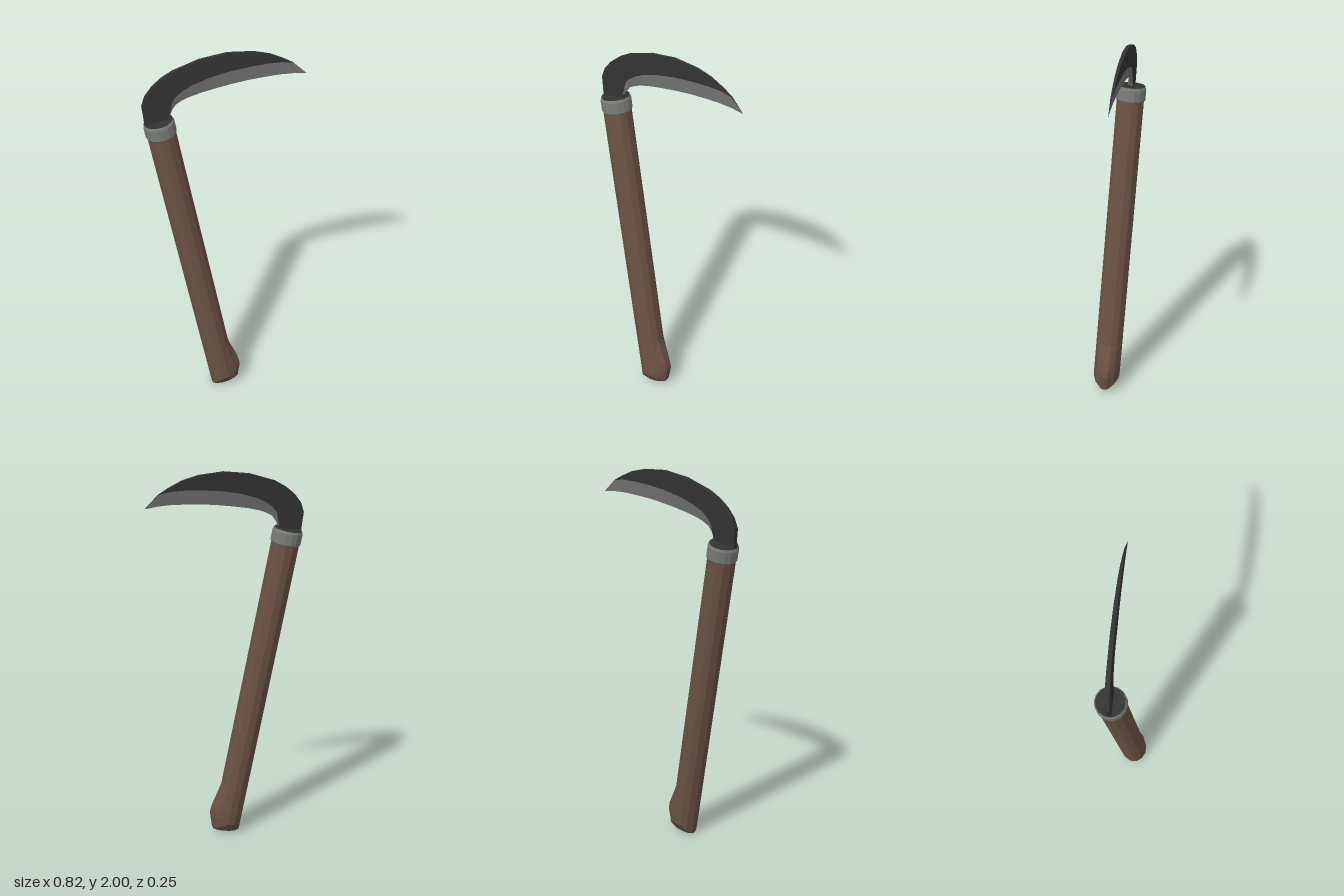
import * as THREE from 'three';

const flat = (name, color) => {
  const m = new THREE.MeshStandardMaterial({ color, flatShading: true });
  m.name = name;
  return m;
};

const part = (name, geometry, material) => {
  const mesh = new THREE.Mesh(geometry, material);
  mesh.name = name;
  return mesh;
};

// Geometry from a list of corner vectors, three per triangle
function fromTriangles(points) {
  const g = new THREE.BufferGeometry().setFromPoints(points);
  g.computeVertexNormals();
  return g;
}

// Twelve-sided wooden grip with a chamfered butt and a hooked swelling on +x
function handleGeometry() {
  const SIDES = 12, R = 0.072;
  // [height, swelling on +x, depth factor, chamfer rise on the z sides]
  const stations = [
    [0, 0.003, 0.48, 0], [0.004, 0.006, 1, 0.055], [0.085, 0.034, 1, 0],
    [0.125, 0.033, 1, 0], [0.2, 0.014, 1, 0], [0.265, 0, 1, 0], [1.701, 0, 0.98, 0],
  ];
  const rings = stations.map(([y, swell, depth, rise]) =>
    Array.from({ length: SIDES }, (_, j) => {
      const a = ((j + 0.5) / SIDES) * Math.PI * 2;
      const c = Math.cos(a), s = Math.sin(a);
      const bulge = swell * Math.max(c, 0) ** 2;
      return new THREE.Vector3(R * c + bulge, y + rise * s * s, R * s * depth);
    }));
  const tris = [];
  for (let k = 0; k < rings.length - 1; k++) {
    for (let j = 0; j < SIDES; j++) {
      const n = (j + 1) % SIDES, a = rings[k], b = rings[k + 1];
      tris.push(a[j], b[j], a[n], a[n], b[j], b[n]);
    }
  }
  // End caps
  const bottom = new THREE.Vector3(0, 0, 0), top = new THREE.Vector3(0, 1.701, 0);
  const last = rings[rings.length - 1];
  for (let j = 0; j < SIDES; j++) {
    const n = (j + 1) % SIDES;
    tris.push(bottom, rings[0][j], rings[0][n], top, last[n], last[j]);
  }
  return fromTriangles(tris);
}

// Blade stations: spine x,y / bevel line x,y / cutting edge x,y / half thickness
const BLADE = [
  [-0.4, 1.66, -0.297, 1.67, -0.297, 1.67, 0.011],
  [-0.406, 1.72, -0.283, 1.71, -0.283, 1.71, 0.011],
  [-0.412, 1.775, -0.275, 1.75, -0.265, 1.74, 0.011],
  [-0.395, 1.825, -0.267, 1.785, -0.246, 1.765, 0.011],
  [-0.36, 1.87, -0.245, 1.812, -0.215, 1.782, 0.011],
  [-0.315, 1.908, -0.21, 1.838, -0.18, 1.795, 0.011],
  [-0.257, 1.941, -0.165, 1.86, -0.12, 1.81, 0.01],
  [-0.125, 1.983, -0.08, 1.887, -0.045, 1.823, 0.01],
  [0.01, 2.0, 0.02, 1.906, 0.03, 1.834, 0.009],
  [0.14, 1.988, 0.13, 1.916, 0.11, 1.843, 0.008],
  [0.22, 1.966, 0.21, 1.919, 0.2, 1.848, 0.007],
  [0.28, 1.937, 0.275, 1.917, 0.27, 1.85, 0.006],
  [0.335, 1.905, 0.335, 1.905, 0.335, 1.847, 0.005],
  [0.406, 1.837, 0.406, 1.837, 0.406, 1.837, 0],
];

// Skin the blade, keeping only the faces chosen by keep(station, side)
function bladeGeometry(keep) {
  const rings = BLADE.map(([ox, oy, mx, my, ix, iy, t]) => [
    new THREE.Vector3(ox, oy, t), new THREE.Vector3(mx, my, t),
    new THREE.Vector3(ix, iy, 0),
    new THREE.Vector3(mx, my, -t), new THREE.Vector3(ox, oy, -t),
  ]);
  const tris = [];
  for (let k = 0; k < rings.length - 1; k++) {
    for (let j = 0; j < 5; j++) {
      if (!keep(k, j)) continue;
      const n = (j + 1) % 5, a = rings[k], b = rings[k + 1];
      tris.push(a[j], a[n], b[n], a[j], b[n], b[j]);
    }
  }
  return fromTriangles(tris);
}

export function createModel() {
  const wood = flat('brown wood', 0x6b5243);
  const darkSteel = flat('dark steel', 0x333333);
  const edgeSteel = flat('ground steel', 0x737373);
  const collarSteel = flat('collar metal', 0x777b76);

  const model = new THREE.Group();
  model.name = 'sickle';

  // The whole tool leans slightly out of the upright plane
  const tool = new THREE.Group();
  tool.name = 'tool';
  tool.position.z = 0.058;
  tool.rotation.set(-0.0522, -0.0607, 0);
  model.add(tool);

  // Grip, leaning to the side
  const grip = new THREE.Group();
  grip.name = 'grip';
  grip.position.set(-0.04, 0.015, 0);
  grip.rotation.z = 0.175;
  grip.add(part('handle', handleGeometry(), wood));

  // Metal collar with chamfered rims
  const profile = [[0.07, 1.622], [0.077, 1.631], [0.077, 1.688], [0.0715, 1.7], [0.066, 1.7]]
    .map(([x, y]) => new THREE.Vector2(x, y));
  grip.add(part('collar', new THREE.LatheGeometry(profile, 16), collarSteel));

  // Dark plate closing the top of the collar
  const plate = part('topPlate', new THREE.CylinderGeometry(0.07, 0.07, 0.006, 16), darkSteel);
  plate.position.y = 1.7;
  grip.add(plate);
  tool.add(grip);

  // Curved blade: dark body and bright ground edge
  const isEdge = (k, j) => k > 0 && (j === 1 || j === 2);
  tool.add(part('bladeBody', bladeGeometry((k, j) => !isEdge(k, j)), darkSteel));
  tool.add(part('bladeEdge', bladeGeometry(isEdge), edgeSteel));

  return model;
}
